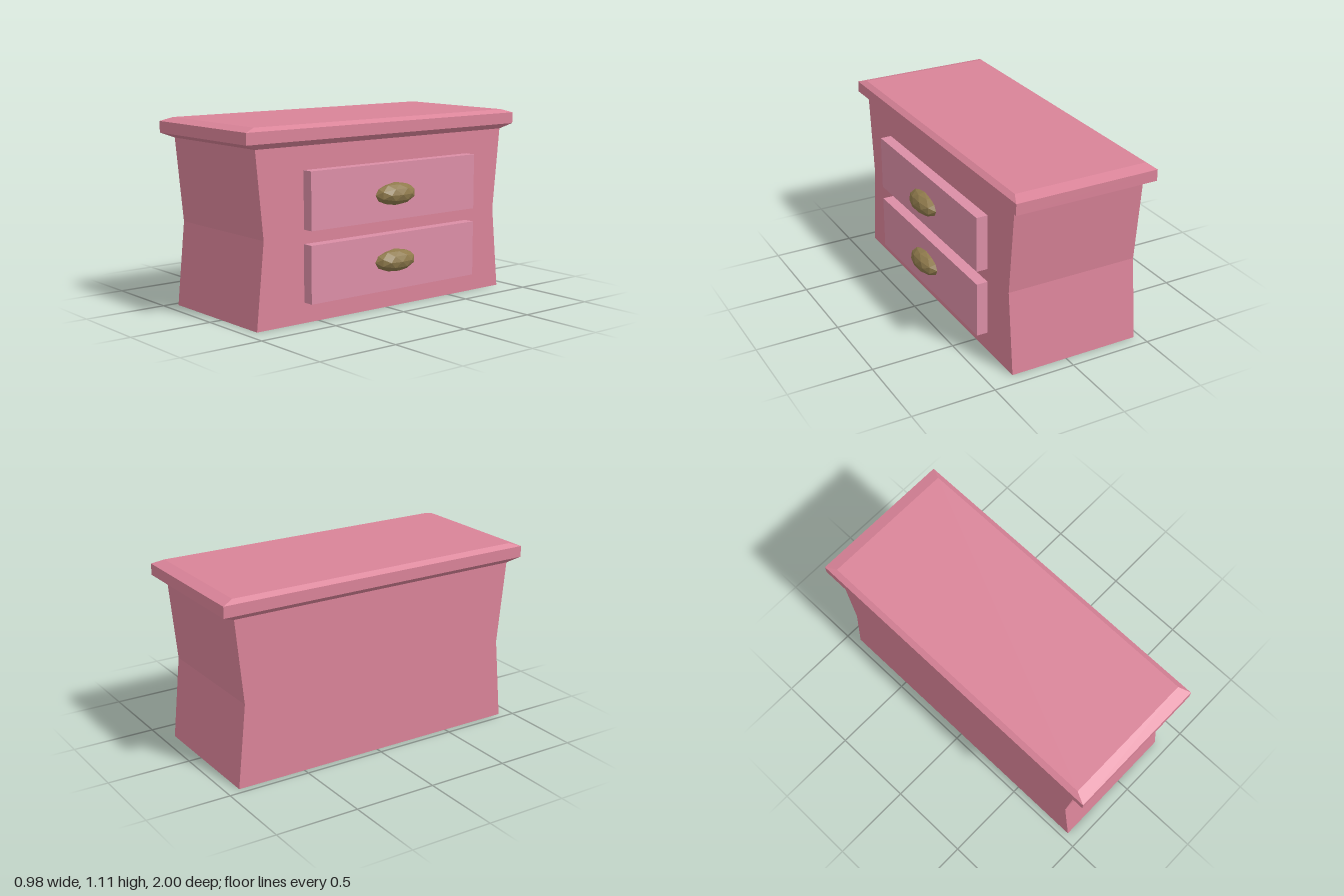
import * as THREE from 'three';

const paint = (color) => new THREE.MeshStandardMaterial({ color, flatShading: true });

// Closed solid through rectangular rings [y, xMin, xMax, zHalf], listed bottom to top
function ringSolid(rings, material) {
  const points = [], index = [];
  for (const [y, x0, x1, z] of rings) points.push(x0, y, z, x1, y, z, x1, y, -z, x0, y, -z);
  for (let r = 0; r < rings.length - 1; r++) {
    for (let i = 0; i < 4; i++) {
      const a = r * 4 + i, b = r * 4 + (i + 1) % 4;
      index.push(a, b, b + 4, a, b + 4, a + 4);
    }
  }
  const t = (rings.length - 1) * 4;
  index.push(0, 2, 1, 0, 3, 2, t, t + 1, t + 2, t, t + 2, t + 3);
  const indexed = new THREE.BufferGeometry();
  indexed.setAttribute('position', new THREE.Float32BufferAttribute(points, 3));
  indexed.setIndex(index);
  const geometry = indexed.toNonIndexed();
  geometry.computeVertexNormals();
  return new THREE.Mesh(geometry, material);
}

export function createModel() {
  const model = new THREE.Group();
  model.name = 'dresser';
  const pink = paint(0xd98398), drawerPink = paint(0xdb8ea6), brass = paint(0x8f7a4c);

  // Cabinet pinched at the waist
  const cabinet = ringSolid([
    [0, -0.46, 0.347, 0.922],
    [0.497, -0.46, 0.347, 0.872],
    [0.993, -0.46, 0.347, 0.922],
  ], pink);
  cabinet.name = 'cabinet';
  model.add(cabinet);

  // Overhanging top with bevels above and below
  const top = ringSolid([
    [0.993, -0.46, 0.347, 0.922],
    [1.024, -0.494, 0.381, 1],
    [1.091, -0.494, 0.381, 1],
    [1.112, -0.462, 0.35, 0.93],
  ], pink);
  top.name = 'top';
  model.add(top);

  // Drawer fronts with faceted oval knobs
  [['upper', 0.694, 0.681], ['lower', 0.283, 0.292]].forEach(([label, y, knobY]) => {
    const drawer = new THREE.Mesh(new THREE.BoxGeometry(0.115, 0.33, 1.238), drawerPink);
    drawer.name = label + 'Drawer';
    drawer.position.set(0.3575, y, -0.018);
    const knob = new THREE.Mesh(new THREE.IcosahedronGeometry(1, 1), brass);
    knob.name = label + 'Knob';
    knob.scale.set(0.074, 0.067, 0.146);
    knob.position.set(0.416, knobY, -0.003);
    model.add(drawer, knob);
  });

  return model;
}
